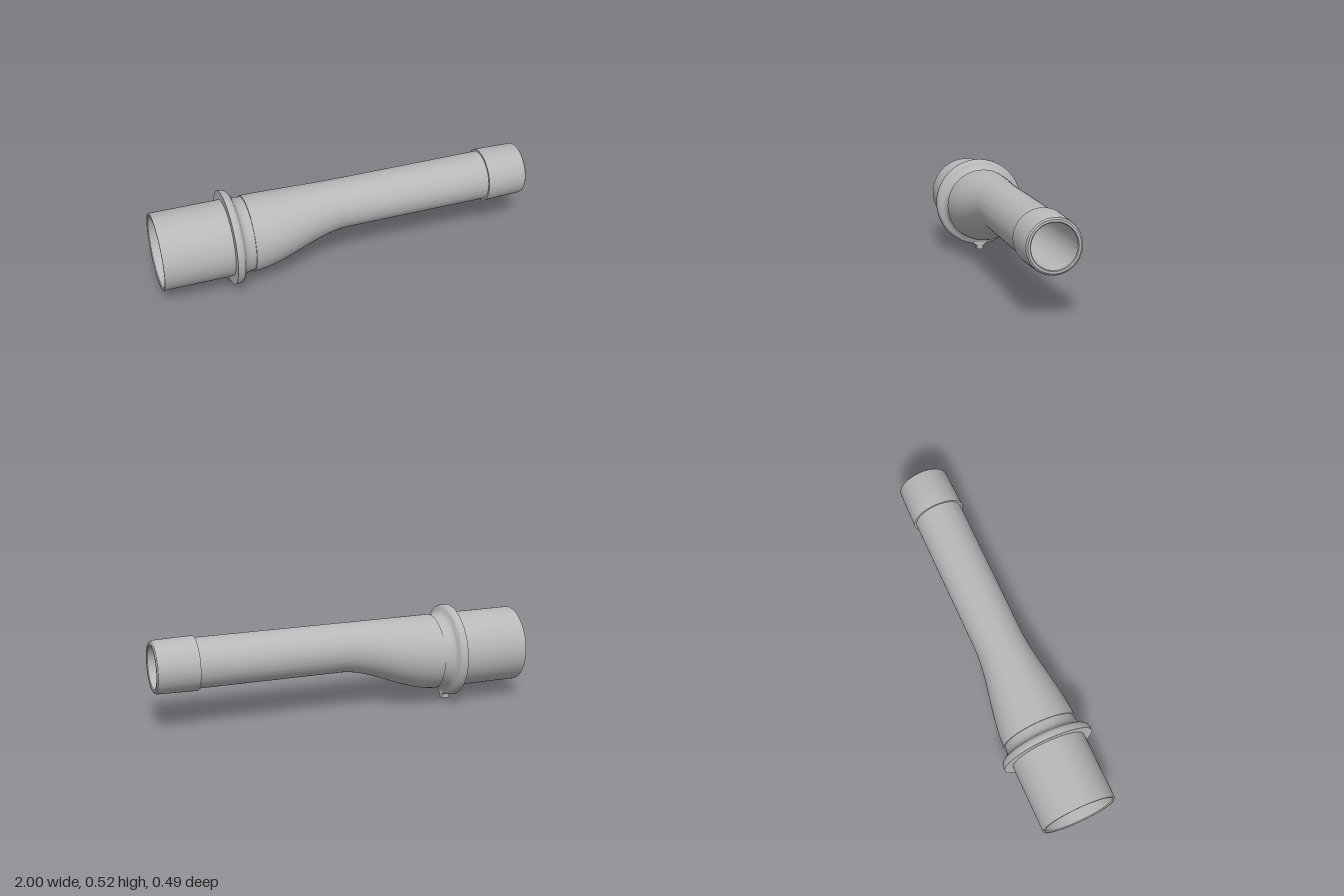
import * as THREE from 'three';
import { toCreasedNormals } from 'three/addons/utils/BufferGeometryUtils.js';

const SIDES = 96;
const WIDE = { y: 0.273, r: 0.2 };      // wide end axis and radius
const NARROW = { y: 0.345, r: 0.13 };   // narrow end axis and radius

export function createModel() {
  const group = new THREE.Group();
  const grey = new THREE.MeshStandardMaterial({ color: 0xb8b8b8 });

  function add(name, geometry) {
    const mesh = new THREE.Mesh(toCreasedNormals(geometry, 0.5), grey);
    mesh.name = name;
    group.add(mesh);
  }

  // Turned part along x; profile points are [x, radius]
  function turned(name, axisY, profile) {
    const points = profile.map(([x, r]) => new THREE.Vector2(r, x));
    const geometry = new THREE.LatheGeometry(points, SIDES);
    geometry.rotateZ(-Math.PI / 2);
    geometry.translate(0, axisY, 0);
    add(name, geometry);
  }

  // Wide socket with its blind bore
  turned('wideSocket', WIDE.y, [
    [-0.55, 0], [-0.55, 0.186], [-0.995, 0.186], [-1, 0.19], [-1, WIDE.r], [-0.635, WIDE.r],
  ]);

  // Flange: flat at the back, rounded rim sweeping down to the neck
  const sweep = new THREE.CubicBezierCurve(
    new THREE.Vector2(-0.592, 0.23), new THREE.Vector2(-0.583, 0.205),
    new THREE.Vector2(-0.572, 0.196), new THREE.Vector2(-0.525, 0.193));
  const rim = new THREE.QuadraticBezierCurve(
    new THREE.Vector2(-0.62, 0.245), new THREE.Vector2(-0.598, 0.245), new THREE.Vector2(-0.592, 0.23));
  turned('flange', WIDE.y, [
    [-0.635, WIDE.r - 0.01], [-0.635, 0.245],
    ...rim.getPoints(8).map((p) => [p.x, p.y]),
    ...sweep.getPoints(12).slice(1).map((p) => [p.x, p.y]),
    [-0.52, 0.193],
  ]);

  // Small locating tab under the flange, flared where it meets the rim
  const tab = new THREE.Shape();
  tab.moveTo(-0.035, 0.05);
  tab.lineTo(-0.035, 0.031);
  tab.quadraticCurveTo(-0.016, 0.029, -0.016, 0.015);
  tab.lineTo(-0.018, 0.004);
  tab.quadraticCurveTo(-0.018, 0, -0.014, 0);
  tab.lineTo(0.014, 0);
  tab.quadraticCurveTo(0.018, 0, 0.018, 0.004);
  tab.lineTo(0.016, 0.015);
  tab.quadraticCurveTo(0.016, 0.029, 0.035, 0.031);
  tab.lineTo(0.035, 0.05);
  const tabGeometry = new THREE.ExtrudeGeometry(tab, { depth: 0.042, bevelEnabled: false, curveSegments: 8 });
  tabGeometry.rotateY(Math.PI / 2);
  tabGeometry.translate(-0.635, 0, 0);
  add('locatingTab', tabGeometry);

  // Eccentric reducer: circles shrink and rise so the top stays level
  const x0 = -0.525;
  const reducer = new THREE.CylinderGeometry(1, 1, 1, SIDES, 32, true);
  reducer.rotateZ(-Math.PI / 2);
  const pos = reducer.attributes.position;
  for (let i = 0; i < pos.count; i++) {
    const t = pos.getX(i) + 0.5;
    const s = 0.9 * THREE.MathUtils.smoothstep(t, 0, 1) + 0.1 * t;
    const r = THREE.MathUtils.lerp(WIDE.r, NARROW.r, s);
    const y = THREE.MathUtils.lerp(WIDE.y, NARROW.y, s);
    pos.setXYZ(i, x0 * (1 - t), y + pos.getY(i) * r, pos.getZ(i) * r);
  }
  add('reducer', reducer);

  // Narrow step closing the reducer against the neck
  turned('reducerShoulder', WIDE.y, [[x0, 0.188], [x0, WIDE.r]]);

  // Narrow pipe
  turned('narrowPipe', NARROW.y, [[0, NARROW.r], [0.785, NARROW.r]]);

  // End cuff with chamfered lip and blind bore
  turned('endCuff', NARROW.y, [
    [0.78, NARROW.r - 0.005], [0.78, 0.141], [0.985, 0.136], [0.994, 0.133],
    [1, 0.125], [1, 0.114], [0.996, 0.11], [0.05, 0.11], [0.05, 0],
  ]);

  return group;
}
